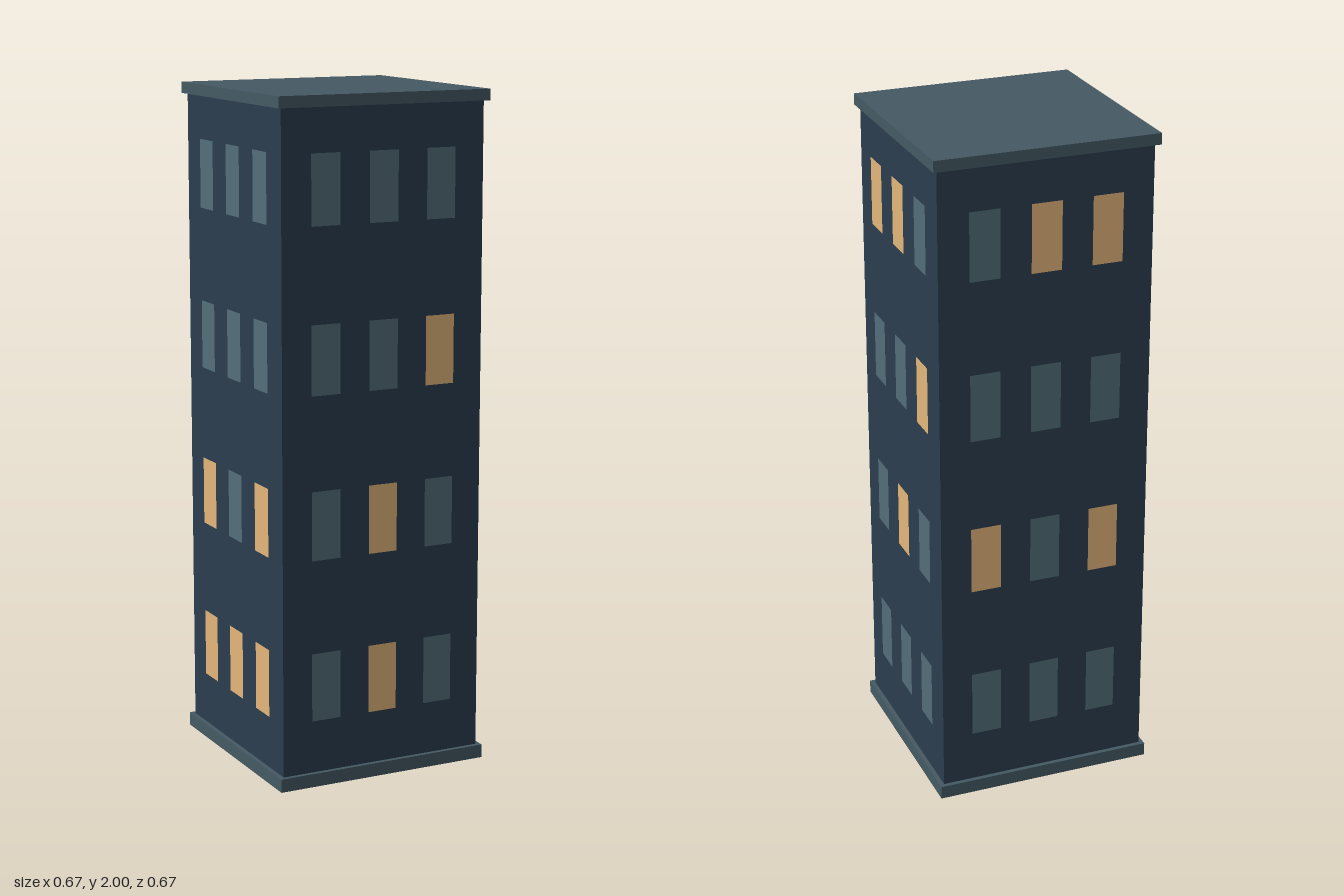
import * as THREE from 'three';

const material = (color) => new THREE.MeshStandardMaterial({ color });

export function createModel() {
  const building = new THREE.Group();
  building.name = 'building';

  const wall = material(0x2c3e50);
  const trim = material(0x455a64);
  const darkGlass = material(0x546e7a);
  const litGlass = material(0xe5b77b);

  // Square slab of a given width between two heights
  const addBlock = (name, width, bottom, top, mat) => {
    const mesh = new THREE.Mesh(new THREE.BoxGeometry(width, top - bottom, width), mat);
    mesh.name = name;
    mesh.position.y = (bottom + top) / 2;
    building.add(mesh);
  };
  addBlock('base', 0.667, 0, 0.04, trim);
  addBlock('walls', 0.64, 0.04, 1.967, wall);
  addBlock('roof', 0.667, 1.967, 2, trim);

  // Window rows from top floor to ground floor, seen from outside: 1 = lit, 0 = dark
  const sides = [
    { name: 'frontWindows', turn: 0, rows: ['000', '001', '010', '010'] },
    { name: 'leftWindows', turn: Math.PI / 2, rows: ['110', '001', '010', '000'] },
    { name: 'backWindows', turn: Math.PI, rows: ['011', '000', '101', '000'] },
    { name: 'rightWindows', turn: -Math.PI / 2, rows: ['000', '000', '101', '111'] },
  ];
  const pane = new THREE.PlaneGeometry(0.091, 0.203);

  for (const { name, turn, rows } of sides) {
    const side = new THREE.Group();
    side.name = name;
    side.rotation.y = turn;
    rows.forEach((row, floor) => {
      [...row].forEach((state, column) => {
        const lit = state === '1';
        const mesh = new THREE.Mesh(pane, lit ? litGlass : darkGlass);
        mesh.name = lit ? 'litWindow' : 'darkWindow';
        mesh.position.set((column - 1) * 0.183, 1.738 - floor * 0.48, 0.322);
        side.add(mesh);
      });
    });
    building.add(side);
  }

  return building;
}
